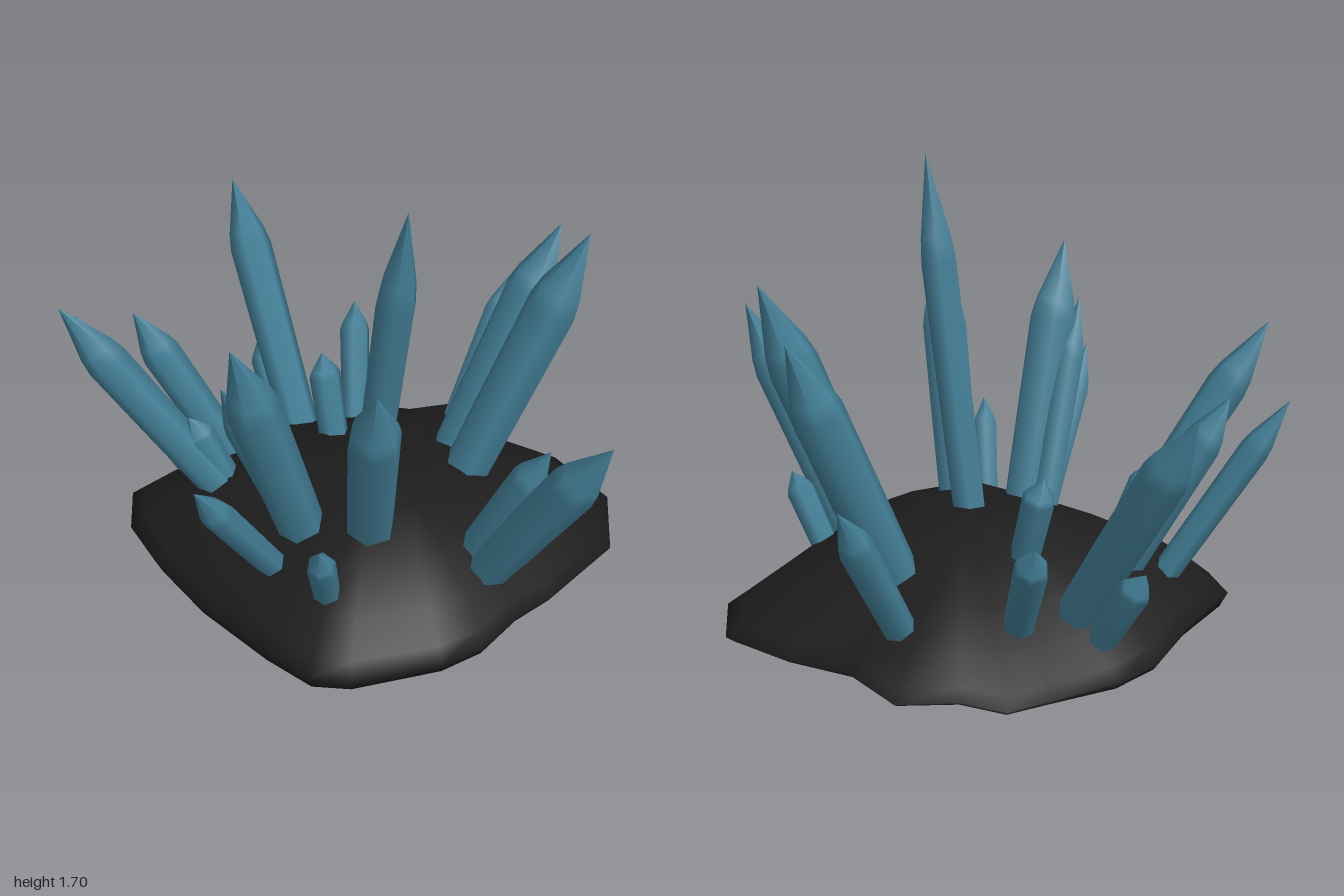
import * as THREE from 'three';
import { mergeVertices } from 'three/addons/utils/BufferGeometryUtils.js';

const crystalBlue = new THREE.MeshStandardMaterial({ color: 0x437f97 });
crystalBlue.name = 'crystal blue';
const rockBlack = new THREE.MeshStandardMaterial({ color: 0x1c1c1c });
rockBlack.name = 'rock black';

// Rim of the rock seen from above: x, z, and how far the edge sags (or lifts, if negative) there
const RIM = [
  [-0.46, -0.82, -0.03], [-0.18, -0.79, -0.01], [0.08, -0.79, 0.02], [0.24, -0.72, 0.045], [0.45, -0.57, 0.055],
  [0.6, -0.49, 0.05], [0.65, -0.34, 0.03], [0.8, -0.19, 0.01], [0.69, 0.05, 0.01], [0.72, 0.29, 0],
  [0.66, 0.57, 0.01], [0.43, 0.73, 0.01], [0.08, 0.72, -0.015], [-0.09, 0.69, -0.03], [-0.3, 0.69, -0.045],
  [-0.45, 0.63, -0.045], [-0.7, 0.43, -0.04], [-0.77, 0.31, -0.035], [-0.765, 0.1, -0.025], [-0.73, -0.24, -0.02],
  [-0.67, -0.5, -0.025], [-0.6, -0.69, -0.03],
];

// Rings of the rock from underside to summit: rim scale, height at the -x end, height at the +x end
const RINGS = [
  [0, 0.005, 0.005], [0.35, 0.01, 0.005], [0.65, 0.01, 0.035], [0.85, 0.025, 0.09],
  [0.97, 0.07, 0.13], [1, 0.13, 0.145], [0.94, 0.18, 0.175], [0.8, 0.28, 0.25],
  [0.6, 0.375, 0.325], [0.35, 0.445, 0.405], [0, 0.46, 0.46],
];

function rockGeometry() {
  const positions = [], index = [], n = RIM.length;
  RINGS.forEach(([s, yLow, yHigh], i) => {
    RIM.forEach(([x, z, sag], j) => {
      const y = THREE.MathUtils.mapLinear(x, -0.77, 0.8, yLow, yHigh) - sag * s;
      positions.push(x * s, s > 0 ? y : yLow, z * s);
      if (i === RINGS.length - 1) return;
      const a = i * n + j, b = i * n + (j + 1) % n;
      if (s > 0) index.push(a, a + n, b);
      if (RINGS[i + 1][0] > 0) index.push(b, a + n, b + n);
    });
  });
  let geometry = new THREE.BufferGeometry();
  geometry.setAttribute('position', new THREE.Float32BufferAttribute(positions, 3));
  geometry.setIndex(index);
  geometry = mergeVertices(geometry);
  geometry.computeVertexNormals();
  return geometry;
}

// Each crystal: point near where it leaves the rock, tip, radius
const CRYSTALS = [
  // back
  [[-0.31, 0.3, -0.66], [-0.48, 0.91, -1.0], 0.053],
  [[-0.37, 0.36, -0.47], [-0.68, 1.12, -0.84], 0.075],
  [[-0.21, 0.37, -0.56], [-0.36, 0.93, -0.83], 0.07],
  [[-0.34, 0.36, -0.45], [-0.41, 0.63, -0.54], 0.06],
  [[0.17, 0.34, -0.56], [0.36, 1.08, -1.0], 0.08],
  [[0.18, 0.24, -0.64], [0.25, 0.5, -0.8], 0.056],
  [[0.36, 0.32, -0.41], [0.52, 0.63, -0.54], 0.06],
  [[0.07, 0.42, -0.28], [0.11, 0.7, -0.36], 0.06],
  // left and right sides
  [[-0.39, 0.38, -0.035], [-0.7, 1.32, -0.03], 0.09],
  [[-0.37, 0.4, -0.13], [-0.67, 1.12, -0.11], 0.055],
  [[-0.56, 0.34, -0.04], [-0.89, 0.87, -0.04], 0.055],
  [[0.57, 0.29, -0.065], [0.89, 0.79, -0.05], 0.06],
  // front
  [[-0.28, 0.42, 0.18], [-0.53, 1.25, 0.41], 0.092],
  [[-0.12, 0.44, 0.05], [-0.2, 1.69, 0.27], 0.07],
  [[-0.075, 0.3, 0.54], [-0.11, 1.08, 1.0], 0.083],
  [[-0.045, 0.34, 0.47], [-0.03, 0.88, 0.73], 0.065],
  [[0.06, 0.29, 0.57], [0.05, 0.52, 0.7], 0.056],
  [[-0.55, 0.33, 0.21], [-0.69, 0.66, 0.3], 0.05],
  [[0.245, 0.4, 0.22], [0.51, 1.35, 0.49], 0.094],
  [[0.34, 0.38, 0.1], [0.68, 1.22, 0.27], 0.094],
];

// Six-sided shaft, widest at the shoulder, ending in a point; its foot is sunk into the rock
function makeCrystal([foot, tip, radius]) {
  const base = new THREE.Vector3(...foot);
  const axis = new THREE.Vector3(...tip).sub(base);
  const length = axis.length(), sunk = 0.13;
  const profile = [
    [radius * 0.9, -sunk], [radius * 0.95, length * 0.2],
    [radius, length * 0.7], [radius * 0.86, length * 0.77], [0, length],
  ].map(([r, y]) => new THREE.Vector2(r, y));
  const crystal = new THREE.Mesh(new THREE.LatheGeometry(profile, 6), crystalBlue);
  crystal.position.copy(base);
  crystal.quaternion.setFromUnitVectors(new THREE.Vector3(0, 1, 0), axis.normalize());
  return crystal;
}

export function createModel() {
  const model = new THREE.Group();
  model.name = 'crystalCluster';

  const rock = new THREE.Mesh(rockGeometry(), rockBlack);
  rock.name = 'rockBase';
  model.add(rock);

  CRYSTALS.forEach((spec, i) => {
    const crystal = makeCrystal(spec);
    crystal.name = `crystal${i + 1}`;
    model.add(crystal);
  });
  return model;
}
